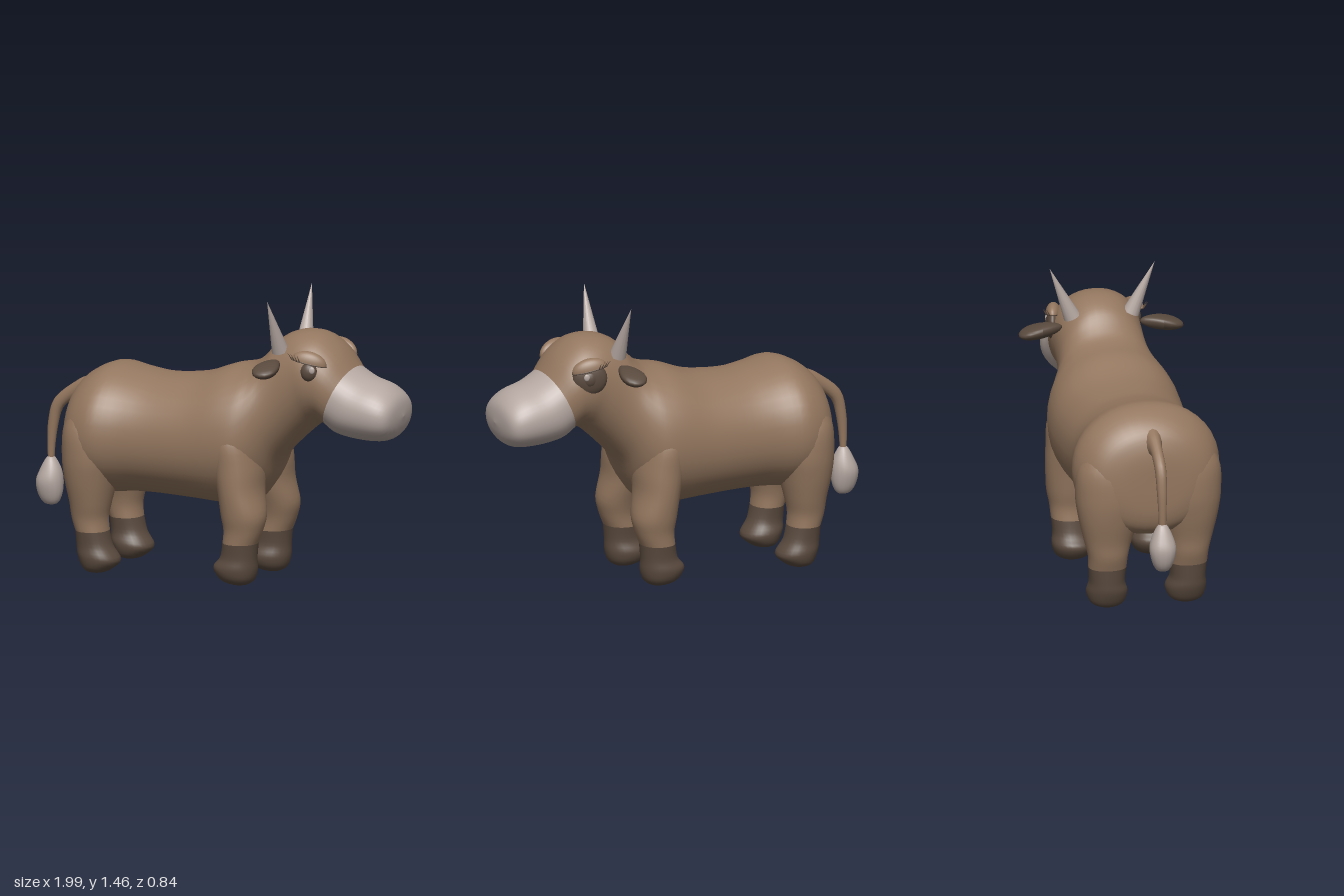
import * as THREE from 'three';

const mat = (name, color) => {
  const m = new THREE.MeshStandardMaterial({ color });
  m.name = name;
  return m;
};

// Uniform Catmull-Rom for one number
const spline = (a, b, c, d, t) =>
  0.5 * (2 * b + (c - a) * t + (2 * a - 5 * b + 4 * c - d) * t * t + (3 * b - a - 3 * c + d) * t * t * t);

// Smooth skin through oval sections: [ax, ay, bx, by, half width in z, centre z]
function loft(sections, side = 1, n = 28, sub = 4) {
  const S = sections.map(s => [s[0], s[1], s[2], s[3], s[4], (s[5] || 0) * side]);
  const rings = [];
  for (let i = 0; i < S.length - 1; i++) {
    const a = S[Math.max(i - 1, 0)], b = S[i], c = S[i + 1], d = S[Math.min(i + 2, S.length - 1)];
    for (let k = 0; k < sub; k++) rings.push(b.map((_, q) => spline(a[q], b[q], c[q], d[q], k / sub)));
  }
  rings.push(S[S.length - 1]);
  const pos = [], idx = [];
  const round = v => Math.sign(v) * Math.pow(Math.abs(v), 2 / 2.12);
  rings.forEach(([ax, ay, bx, by, w, zc], i) => {
    for (let j = 0; j < n; j++) {
      const t = j / n * Math.PI * 2, u = round(Math.cos(t)) / 2, v = round(Math.sin(t));
      pos.push((ax + bx) / 2 + u * (ax - bx), (ay + by) / 2 + u * (ay - by), zc + v * Math.max(w, 0));
      if (i < rings.length - 1) {
        const p = i * n + j, q = i * n + (j + 1) % n;
        idx.push(p, q, p + n, q, q + n, p + n);
      }
    }
  });
  const g = new THREE.BufferGeometry();
  g.setAttribute('position', new THREE.Float32BufferAttribute(pos, 3));
  g.setIndex(idx);
  g.computeVertexNormals();
  return g;
}

const MUZZLE_EDGE = [0.74, 1.11, 0.605, 0.81, 0.2];

const BODY = [
  [-0.768, 0.7, -0.768, 0.7, 0], [-0.766, 0.79, -0.768, 0.6, 0.1], [-0.752, 0.87, -0.76, 0.5, 0.2],
  [-0.72, 0.94, -0.73, 0.43, 0.285],
  [-0.65, 1.0, -0.66, 0.39, 0.345], [-0.55, 1.035, -0.55, 0.385, 0.372], [-0.42, 1.015, -0.42, 0.395, 0.337],
  [-0.28, 1.0, -0.28, 0.395, 0.325], [-0.08, 1.02, -0.08, 0.385, 0.33], [0.08, 1.075, 0.08, 0.375, 0.335],
  [0.18, 1.095, 0.2, 0.39, 0.325], [0.24, 1.12, 0.285, 0.49, 0.285], [0.29, 1.165, 0.34, 0.61, 0.245],
  [0.34, 1.225, 0.42, 0.7, 0.225], [0.41, 1.265, 0.52, 0.79, 0.222], [0.49, 1.28, 0.57, 0.82, 0.226],
  [0.58, 1.265, 0.59, 0.82, 0.222], [0.67, 1.2, 0.6, 0.815, 0.215], MUZZLE_EDGE,
];
const MUZZLE = [
  MUZZLE_EDGE, [0.82, 1.065, 0.67, 0.77, 0.2], [0.91, 1.035, 0.8, 0.75, 0.198],
  [0.965, 0.995, 0.92, 0.755, 0.178], [0.99, 0.95, 0.975, 0.8, 0.125], [0.997, 0.88, 0.997, 0.88, 0],
];
const FRONT_LEG = [
  [0.2, 0.9, 0.08, 0.9, 0.1, 0.14], [0.265, 0.75, 0.05, 0.75, 0.16, 0.165], [0.3, 0.6, 0.06, 0.6, 0.167, 0.165],
  [0.305, 0.48, 0.085, 0.48, 0.15, 0.18], [0.33, 0.36, 0.105, 0.36, 0.12, 0.2],
  [0.315, 0.28, 0.12, 0.28, 0.1, 0.205], [0.29, 0.215, 0.115, 0.215, 0.095, 0.205],
];
const FRONT_HOOF = [
  FRONT_LEG[6], [0.285, 0.14, 0.1, 0.14, 0.089, 0.205], [0.285, 0.08, 0.062, 0.09, 0.102, 0.2],
  [0.27, 0.03, 0.09, 0.035, 0.085, 0.2], [0.235, 0.005, 0.14, 0.008, 0.045, 0.2], [0.19, 0, 0.19, 0, 0, 0.2],
];
const BACK_LEG = [
  [-0.55, 0.9, -0.68, 0.9, 0.11, 0.15], [-0.49, 0.75, -0.745, 0.75, 0.18, 0.175], [-0.465, 0.6, -0.757, 0.6, 0.19, 0.178],
  [-0.485, 0.48, -0.742, 0.48, 0.158, 0.195], [-0.51, 0.36, -0.715, 0.36, 0.12, 0.205],
  [-0.525, 0.28, -0.705, 0.28, 0.1, 0.205], [-0.52, 0.215, -0.685, 0.215, 0.095, 0.205],
];
const BACK_HOOF = [
  BACK_LEG[6], [-0.5, 0.14, -0.68, 0.14, 0.089, 0.205], [-0.46, 0.07, -0.675, 0.09, 0.102, 0.2],
  [-0.5, 0.025, -0.65, 0.03, 0.085, 0.2], [-0.54, 0.006, -0.62, 0.006, 0.045, 0.2], [-0.58, 0, -0.58, 0, 0, 0.2],
];
const TAIL = [
  [-0.68, 0.82, -0.64, 0.98, 0.07], [-0.74, 0.82, -0.715, 0.95, 0.045], [-0.8, 0.82, -0.78, 0.917, 0.03],
  [-0.86, 0.765, -0.9, 0.82, 0.028], [-0.885, 0.68, -0.935, 0.7, 0.025], [-0.9, 0.58, -0.94, 0.58, 0.02],
  [-0.905, 0.5, -0.935, 0.5, 0.018],
];
const TUFT = [
  [-0.92, 0.53, -0.92, 0.53, 0], [-0.898, 0.515, -0.945, 0.515, 0.025], [-0.87, 0.46, -0.975, 0.46, 0.052],
  [-0.86, 0.4, -0.997, 0.4, 0.067], [-0.865, 0.335, -0.988, 0.335, 0.055], [-0.885, 0.29, -0.96, 0.29, 0.032],
  [-0.92, 0.278, -0.92, 0.278, 0],
];

export function createModel() {
  const root = new THREE.Group();
  root.name = 'cow';
  const hide = mat('brown hide', 0x94775f);
  hide.side = THREE.DoubleSide;
  const dark = mat('dark brown', 0x5a4a3e);
  const pale = mat('pale grey', 0xb5a7a1);

  const add = (parent, name, geo, material) => {
    const m = new THREE.Mesh(geo, material);
    m.name = name;
    parent.add(m);
    return m;
  };
  const ball = (parent, name, material, p, s) => {
    const m = add(parent, name, new THREE.SphereGeometry(1, 20, 14), material);
    m.position.set(...p);
    m.scale.set(...s);
  };
  // Cone whose base sits at a and tip at b
  const spike = (parent, name, material, a, b, r) => {
    const A = new THREE.Vector3(...a), B = new THREE.Vector3(...b), d = B.clone().sub(A);
    const m = add(parent, name, new THREE.ConeGeometry(r, d.length(), 14), material);
    m.position.copy(A).add(B).multiplyScalar(0.5);
    m.quaternion.setFromUnitVectors(new THREE.Vector3(0, 1, 0), d.normalize());
  };

  add(root, 'body', loft(BODY, 1, 40), hide);
  add(root, 'muzzle', loft(MUZZLE, 1, 40), pale);
  add(root, 'tail', loft(TAIL, 1, 14), hide);
  add(root, 'tailTuft', loft(TUFT, 1, 16), pale);

  for (const s of [1, -1]) {
    const tag = s > 0 ? 'Near' : 'Far';
    add(root, 'frontLeg' + tag, loft(FRONT_LEG, s), hide);
    add(root, 'frontHoof' + tag, loft(FRONT_HOOF, s), dark);
    add(root, 'backLeg' + tag, loft(BACK_LEG, s), hide);
    add(root, 'backHoof' + tag, loft(BACK_HOOF, s), dark);
    spike(root, 'horn' + tag, pale, [0.392, 1.19, 0.15 * s], [0.375, 1.455, 0.268 * s], 0.043);

    // Ear: flattened ball, narrow at the root, drooping and broad towards the tip
    const ear = new THREE.SphereGeometry(1, 20, 16);
    const p = ear.attributes.position;
    for (let i = 0; i < p.count; i++) {
      const out = p.getZ(i) * s, x = p.getX(i), wide = 0.058 + 0.028 * out;
      p.setXYZ(i, 0.4 + x * wide, 1.122 + p.getY(i) * 0.036 - 0.016 * out + 0.012 * x * x, s * (0.308 + 0.11 * out));
    }
    ear.computeVertexNormals();
    add(root, 'ear' + tag, ear, dark);

    // Eye with heavy lid and lashes
    const eye = new THREE.Group();
    eye.name = 'eye' + tag;
    eye.position.set(0.572, 1.115, 0.203 * s);
    eye.rotation.y = 0.28 * s;
    root.add(eye);
    if (s < 0) ball(eye, 'eyeball', dark, [0, -0.012, 0], [0.088, 0.084, 0.034]);
    ball(eye, 'iris', dark, [0.002, -0.01, 0.006 * s], [0.042, 0.048, 0.034]);
    ball(eye, 'glint', pale, [0.02, 0.004, 0.035 * s], [0.015, 0.018, 0.007]);

    const lid = new THREE.Group();
    lid.name = 'eyelid';
    lid.position.set(0, 0.035, 0);
    lid.rotation.z = -0.22;
    eye.add(lid);
    const dome = add(lid, 'lidDome', new THREE.SphereGeometry(1, 24, 10, 0, Math.PI * 2, 0, Math.PI / 2), hide);
    dome.scale.set(0.09, 0.058, 0.038);
    const rim = add(lid, 'lashLine', new THREE.TorusGeometry(0.09, 0.003, 6, 32), dark);
    rim.rotation.x = Math.PI / 2;
    rim.scale.y = 0.42;
    for (let i = 0; i < 4; i++) {
      const x = -0.085 + i * 0.014, z = 0.038 * Math.sqrt(1 - (x / 0.09) ** 2);
      spike(lid, 'lash', dark, [x, 0, z * s], [x - 0.028 + i * 0.004, 0.032, (z + 0.016) * s], 0.003);
    }
  }
  return root;
}
